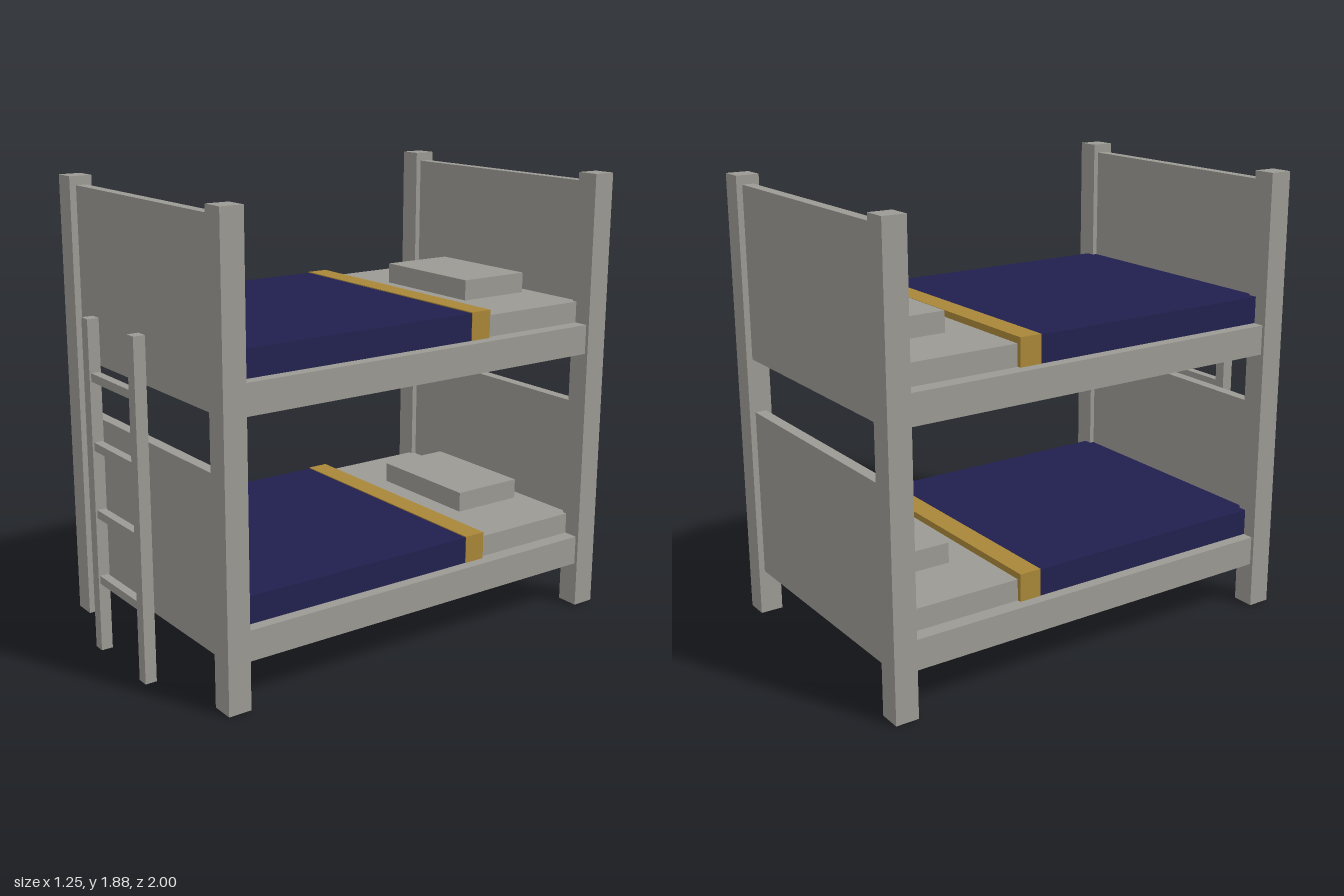
import * as THREE from 'three';

const mat = (name, color, side = THREE.FrontSide) => {
  const m = new THREE.MeshStandardMaterial({ color, side });
  m.name = name;
  return m;
};

export function createModel() {
  const model = new THREE.Group();
  const grey = mat('greyPaint', 0x9c9a94, THREE.DoubleSide);
  const navy = mat('navyCloth', 0x21204f, THREE.DoubleSide);
  const gold = mat('goldCloth', 0xa98738, THREE.DoubleSide);

  // Box given by its limits; an open box has no bottom face
  function box(parent, name, material, [x0, x1], [y0, y1], [z0, z1], open = false) {
    const geo = new THREE.BoxGeometry(x1 - x0, y1 - y0, z1 - z0);
    if (open) {
      const index = Array.from(geo.index.array);
      index.splice(18, 6);
      geo.setIndex(index);
      geo.clearGroups();
    }
    const mesh = new THREE.Mesh(geo, material);
    mesh.name = name;
    mesh.position.set((x0 + x1) / 2, (y0 + y1) / 2, (z0 + z1) / 2);
    parent.add(mesh);
  }
  const span = (side, a, b) => (side > 0 ? [a, b] : [-b, -a]);

  // Corner posts
  for (const s of [1, -1]) {
    const label = s > 0 ? 'left' : 'right';
    box(model, label + 'FrontPost', grey, span(s, 0.528, 0.624), [0, 1.88], [0.778, 0.875]);
    box(model, label + 'BackPost', grey, span(s, 0.528, 0.624), [0, 1.88], [-1, -0.903]);
  }

  // Two identical bunks
  [['lowerBunk', 0], ['upperBunk', 0.94]].forEach(([name, lift]) => {
    const bunk = new THREE.Group();
    bunk.name = name;
    bunk.position.y = lift;
    model.add(bunk);
    box(bunk, 'footboard', grey, [-0.53, 0.53], [0.19, 0.903], [0.8, 0.847]);
    box(bunk, 'headboard', grey, [-0.53, 0.53], [0.19, 0.903], [-0.975, -0.927]);
    for (const s of [1, -1])
      box(bunk, s > 0 ? 'leftRail' : 'rightRail', grey, span(s, 0.547, 0.61), [0.19, 0.314], [-0.92, 0.8]);
    // Bedding, open underneath
    box(bunk, 'mattress', grey, [-0.547, 0.547], [0.314, 0.403], [-0.92, 0.798], true);
    box(bunk, 'pillow', grey, [-0.26, 0.26], [0.403, 0.489], [-0.862, -0.537], true);
    box(bunk, 'blanket', navy, [-0.564, 0.564], [0.315, 0.426], [-0.402, 0.798], true);
    box(bunk, 'blanketTrim', gold, [-0.566, 0.566], [0.315, 0.43], [-0.404, -0.31], true);
  });

  // Ladder
  const ladder = new THREE.Group();
  ladder.name = 'ladder';
  model.add(ladder);
  for (const s of [1, -1])
    box(ladder, s > 0 ? 'leftLadderPost' : 'rightLadderPost', grey, span(s, 0.162, 0.211), [0, 1.377], [0.951, 1]);
  for (let i = 0; i < 4; i++) {
    const y = 0.29 + i * 0.28;
    box(ladder, 'rung' + (i + 1), grey, [-0.162, 0.162], [y, y + 0.034], [0.957, 0.993]);
  }
  return model;
}
